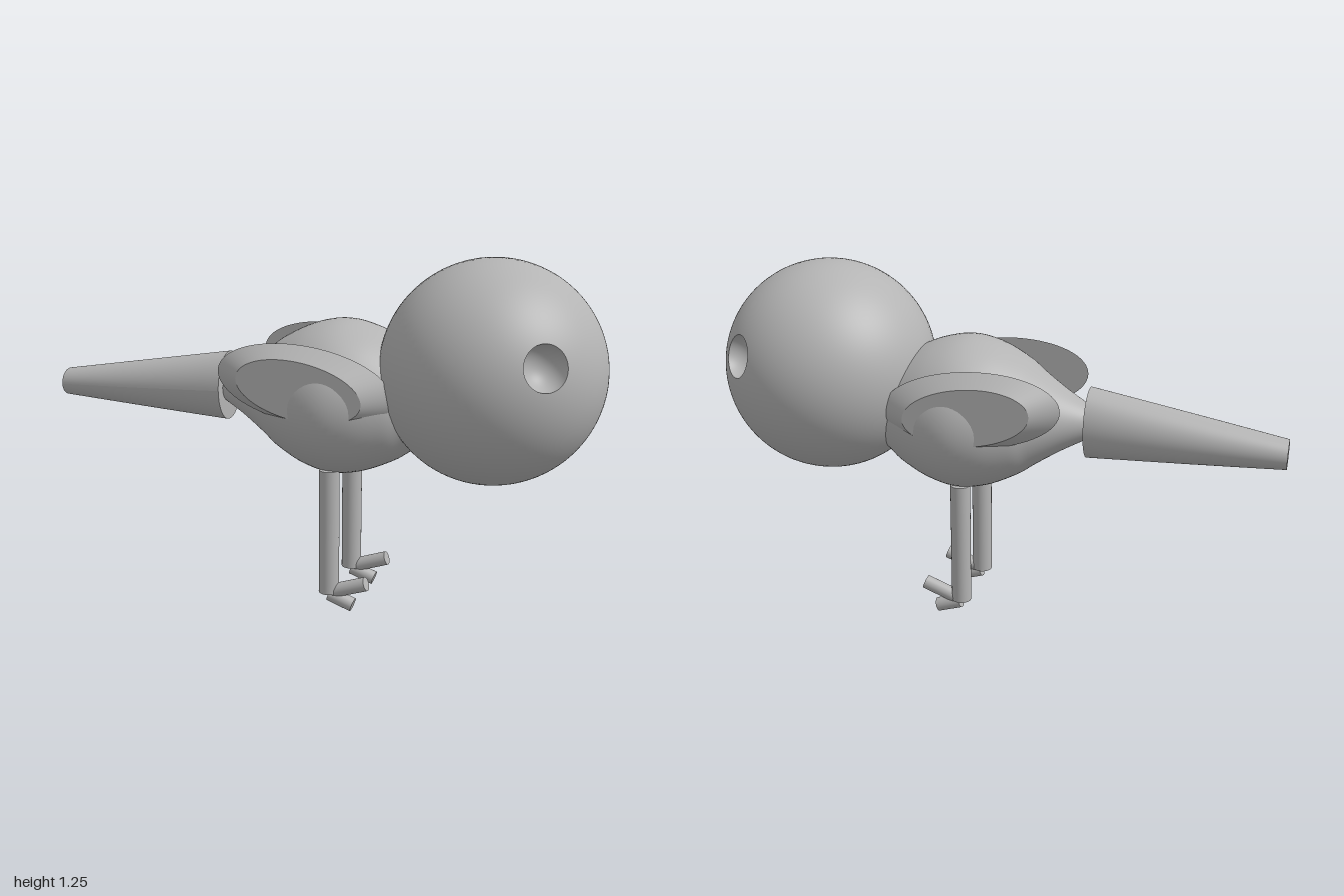
import * as THREE from 'three';

const grey = new THREE.MeshStandardMaterial({ color: 0xb4b4b4 });
grey.name = 'plain grey';

const V = (x, y, z) => new THREE.Vector3(x, y, z);

function add(group, name, geometry) {
  const mesh = new THREE.Mesh(geometry, grey);
  mesh.name = name;
  group.add(mesh);
  return mesh;
}

// Mirrored copy across z = 0, with the faces turned back outwards
function mirrorZ(geometry) {
  const g = geometry.clone().scale(1, 1, -1);
  const index = g.index;
  for (let i = 0; i < index.count; i += 3) {
    const b = index.getX(i + 1);
    index.setX(i + 1, index.getX(i + 2));
    index.setX(i + 2, b);
  }
  return g;
}

// Move every vertex by a rule
function reshape(geometry, rule) {
  const p = geometry.attributes.position;
  for (let i = 0; i < p.count; i++) {
    const v = V().fromBufferAttribute(p, i);
    rule(v);
    p.setXYZ(i, v.x, v.y, v.z);
  }
  geometry.computeVertexNormals();
  return geometry;
}

// Polar patch: at(t, phi) gives a point and its normal
function polarPatch(rings, sides, at) {
  const position = [], normal = [], index = [];
  for (let i = 0; i <= rings; i++) {
    for (let j = 0; j <= sides; j++) {
      const { p, n } = at(i / rings, (j % sides) / sides * Math.PI * 2);
      position.push(p.x, p.y, p.z);
      normal.push(n.x, n.y, n.z);
      if (i < rings && j < sides) {
        const a = i * (sides + 1) + j, b = a + sides + 1;
        index.push(a, b, b + 1, a, b + 1, a + 1);
      }
    }
  }
  const g = new THREE.BufferGeometry();
  g.setAttribute('position', new THREE.Float32BufferAttribute(position, 3));
  g.setAttribute('normal', new THREE.Float32BufferAttribute(normal, 3));
  g.setIndex(index);
  return g;
}

// Round head made of two halves, each centred on a hollow eye socket
function makeHead() {
  const head = new THREE.Group();
  head.name = 'head';
  head.position.set(0.622, 0.88, 0);
  const R = 0.376, eyeR = 0.075;
  const d = V(0.22, 0.09, 0.287).normalize();
  const a = V(0, 1, 0).cross(d).normalize();
  const b = d.clone().cross(a);
  const rim = 2 * Math.asin(eyeR / 2 / R);
  const around = (phi) => a.clone().multiplyScalar(Math.cos(phi)).addScaledVector(b, Math.sin(phi));

  const half = polarPatch(32, 96, (t, phi) => {
    const e = around(phi);
    const end = Math.atan2(d.z, -e.z); // where this meridian reaches the middle plane
    const angle = rim + (end - rim) * t;
    const n = d.clone().multiplyScalar(Math.cos(angle)).addScaledVector(e, Math.sin(angle));
    return { p: n.clone().multiplyScalar(R), n };
  });
  const socketEnd = Math.atan2(Math.sin(rim), 1 - Math.cos(rim));
  const socket = polarPatch(14, 96, (t, phi) => {
    const n = d.clone().multiplyScalar(Math.cos(t * socketEnd))
      .addScaledVector(around(phi), -Math.sin(t * socketEnd));
    return { p: d.clone().multiplyScalar(R).addScaledVector(n, -eyeR), n };
  });
  add(head, 'leftHeadHalf', half);
  add(head, 'rightHeadHalf', mirrorZ(half));
  add(head, 'leftEyeSocket', socket);
  add(head, 'rightEyeSocket', mirrorZ(socket));
  return head;
}

// Spindle-shaped body, slightly wider than tall
function makeBody() {
  const profile = new THREE.SplineCurve([
    [0.055, -0.44], [0.105, -0.35], [0.163, -0.26], [0.205, -0.2], [0.252, -0.1], [0.27, 0],
    [0.252, 0.1], [0.208, 0.2], [0.168, 0.26], [0.115, 0.35], [0.06, 0.44],
  ].map(([r, x]) => new THREE.Vector2(r, x))).getPoints(60);
  profile.unshift(new THREE.Vector2(0, -0.44));
  profile.push(new THREE.Vector2(0, 0.44));
  return new THREE.LatheGeometry(profile, 72)
    .rotateZ(-Math.PI / 2).scale(1, 1, 1.075).translate(0.105, 0.755, 0);
}

// Tapered tail with oval ends
function makeTail() {
  const g = new THREE.CylinderGeometry(1, 1, 1, 64, 10).rotateZ(Math.PI / 2);
  return reshape(g, (v) => {
    const t = 0.5 - v.x; // 0 at the body, 1 at the tip
    v.x = -0.33 - 0.67 * t;
    v.y = 0.755 - 0.04 * t + v.y * (0.125 - 0.075 * t);
    v.z *= 0.1 - 0.045 * t + 0.03 * t * (1 - t);
  });
}

// Oval wing plate, smaller on its outer face
function makeWing() {
  const g = new THREE.CylinderGeometry(1, 1, 1, 72, 1).rotateX(Math.PI / 2);
  return reshape(g, (v) => {
    const outer = v.z > 0;
    const x = v.x * (outer ? 0.22 : 0.31);
    const y = v.y * (outer ? 0.1 : 0.135);
    const tilt = outer ? -0.12 : -0.08;
    v.set(0.033 + x, (outer ? 0.823 : 0.832) + y + x * tilt, outer ? 0.268 : 0.211);
  });
}

// Round rod between two points
function rod(from, to, r) {
  const along = to.clone().sub(from);
  const turn = new THREE.Quaternion().setFromUnitVectors(V(0, 1, 0), along.clone().normalize());
  const mid = from.clone().add(to).multiplyScalar(0.5);
  return new THREE.CylinderGeometry(r, r, along.length(), 40)
    .applyQuaternion(turn).translate(mid.x, mid.y, mid.z);
}

export function createModel() {
  const bird = new THREE.Group();
  bird.name = 'bird';
  bird.add(makeHead());
  add(bird, 'body', makeBody());
  add(bird, 'tail', makeTail());

  const wing = makeWing();
  add(bird, 'leftWing', wing);
  add(bird, 'rightWing', mirrorZ(wing));

  // Legs, each with a raised and a lowered toe
  for (const [side, z] of [['left', 0.126], ['right', -0.126]]) {
    add(bird, side + 'Leg', rod(V(0.097, 0.065, z), V(0.097, 0.52, z), 0.036));
    add(bird, side + 'UpperToe', rod(V(0.115, 0.07, z), V(0.235, 0.113, z), 0.025));
    add(bird, side + 'LowerToe', rod(V(0.1, 0.056, z), V(0.187, 0.026, z), 0.025));
  }
  return bird;
}
